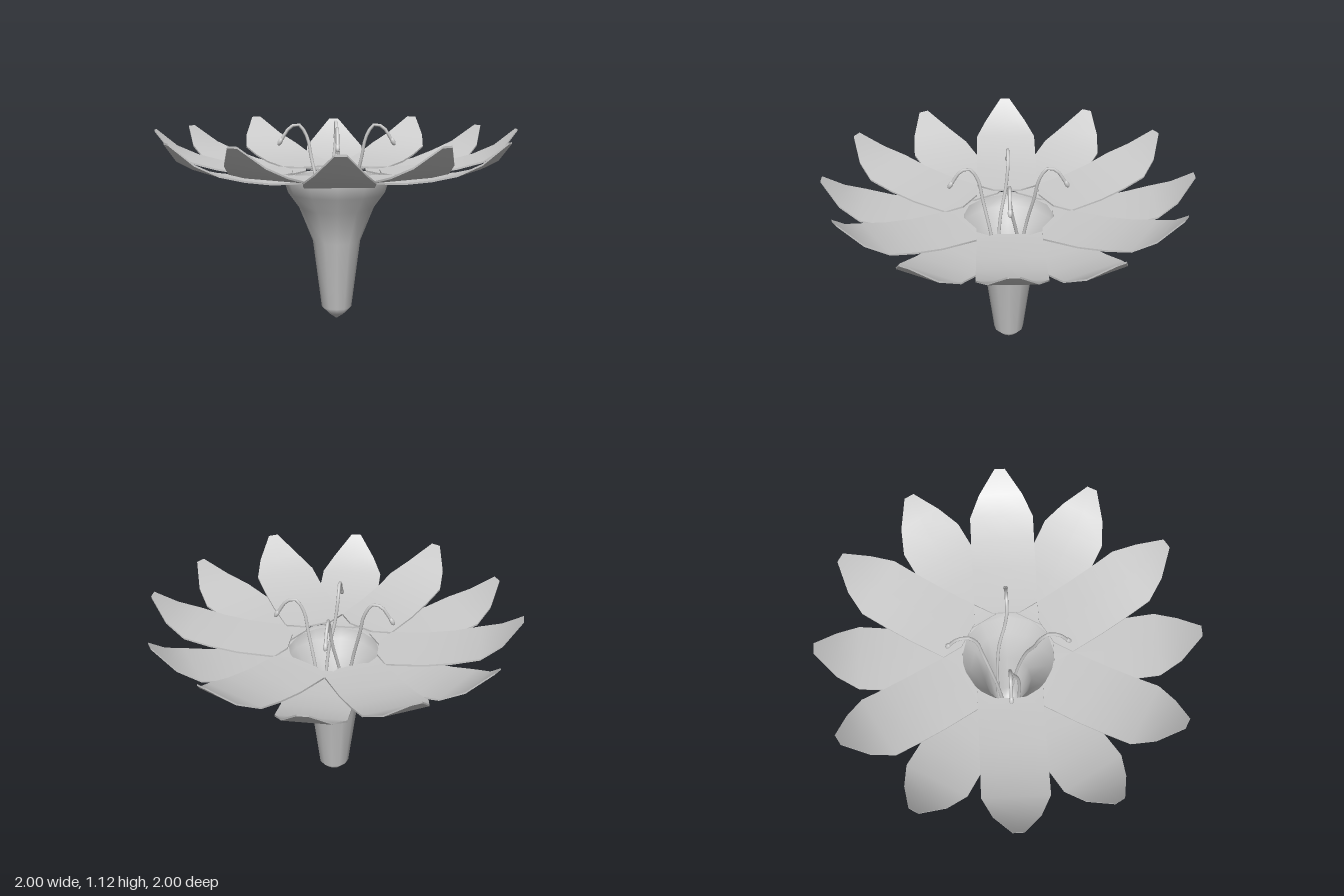
import * as THREE from 'three';

const grey = new THREE.MeshStandardMaterial({ color: 0xcccccc, side: THREE.DoubleSide });

// Petal stations from base to tip: radius, height, half width
const STATIONS = [
  [0.245, 0.828, 0.075], [0.3, 0.829, 0.172], [0.5, 0.841, 0.175], [0.65, 0.866, 0.175],
  [0.79, 0.903, 0.175], [0.9, 0.96, 0.12], [1.0, 1.062, 0.028],
];

// A thin slab bent and tapered along the stations
function petalGeometry() {
  const n = STATIONS.length - 1;
  const geo = new THREE.BoxGeometry(1, 1, 1, n, 1, 2);
  const pos = geo.attributes.position;
  for (let i = 0; i < pos.count; i++) {
    const [r, h, w] = STATIONS[Math.round((pos.getX(i) + 0.5) * n)];
    pos.setXYZ(i, r, h + pos.getY(i) * 0.01, pos.getZ(i) * 2 * w);
  }
  geo.computeVertexNormals();
  return geo;
}

function mesh(name, geometry) {
  const m = new THREE.Mesh(geometry, grey);
  m.name = name;
  return m;
}

export function createModel() {
  const flower = new THREE.Group();
  flower.name = 'flower';

  // Hollow trumpet-shaped base with a pointed foot
  const profile = [
    [0, 0.003], [0.045, 0.035], [0.085, 0.075], [0.134, 0.46], [0.21, 0.65],
    [0.272, 0.735], [0.298, 0.815], [0.285, 0.824], [0.252, 0.822],
  ].map(([x, y]) => new THREE.Vector2(x, y));
  flower.add(mesh('flowerTube', new THREE.LatheGeometry(profile, 12)));

  // Two whorls of six petals, the upper one resting on the lower
  const petal = petalGeometry();
  for (let i = 0; i < 12; i++) {
    const upper = i % 2 === 0;
    const p = mesh(upper ? 'upperPetal' : 'lowerPetal', petal);
    p.rotation.y = (i * Math.PI) / 6;
    p.position.y = upper ? 0.023 : 0;
    flower.add(p);
  }

  // Four stamens that rise from the tube and curl outward
  const path = new THREE.CatmullRomCurve3([
    [0.02, 0.12, -0.06], [0.06, 0.5, -0.06], [0.1, 0.75, -0.045], [0.14, 0.93, -0.012],
    [0.165, 1.05, 0], [0.212, 1.115, 0], [0.262, 1.095, 0], [0.308, 1.025, 0],
  ].map((p) => new THREE.Vector3(...p)));
  const filament = new THREE.TubeGeometry(path, 32, 0.009, 8);
  const anther = new THREE.SphereGeometry(1, 10, 8);
  anther.scale(0.013, 0.024, 0.013);
  for (let i = 0; i < 4; i++) {
    const stamen = new THREE.Group();
    stamen.name = 'stamen';
    const tip = mesh('anther', anther);
    tip.position.set(0.313, 1.02, 0);
    tip.rotation.z = 0.5;
    stamen.add(mesh('filament', filament), tip);
    stamen.rotation.y = (i * Math.PI) / 2;
    flower.add(stamen);
  }
  return flower;
}
